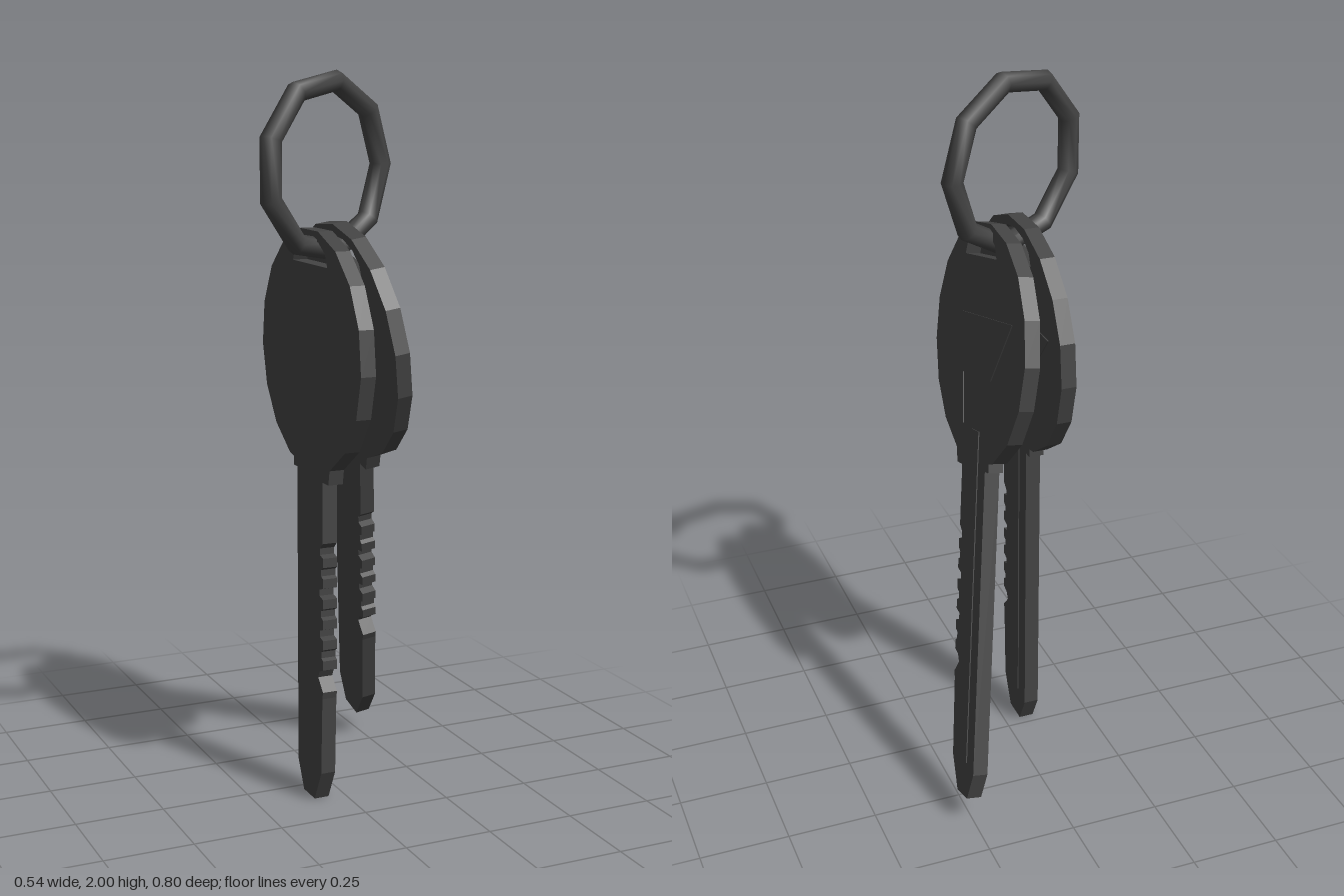
import * as THREE from 'three';

const material = new THREE.MeshStandardMaterial({ color: 0x444444, flatShading: true });
const smoothMaterial = new THREE.MeshStandardMaterial({ color: 0x444444 });
const PIVOT = { y: 1.53, z: 0.085 };   // where the key hangs from the ring
const THICK = 0.042;

// Flat plate drawn in (z, y), extruded along x and centred on x
function plate(name, points, thickness, hole) {
  const toVec = ([z, y]) => new THREE.Vector2(z - PIVOT.z, y - PIVOT.y);
  const shape = new THREE.Shape(points.map(toVec));
  if (hole) shape.holes.push(new THREE.Path(hole.map(toVec)));
  const geo = new THREE.ExtrudeGeometry(shape, { depth: thickness, bevelEnabled: false });
  geo.translate(0, 0, -thickness / 2);
  geo.rotateY(-Math.PI / 2);
  const mesh = new THREE.Mesh(geo, material);
  mesh.name = name;
  return mesh;
}

// Outline runs round the head, down the back edge, then up the toothed edge
function keyOutline() {
  const pts = [];
  // rounded head, open at the bottom where the blade joins
  const sides = 15, gap = 0.42;
  for (let i = 0; i <= sides; i++) {
    const a = -Math.PI / 2 + gap + (i / sides) * (2 * Math.PI - 2 * gap);
    pts.push([0.072 + 0.328 * Math.cos(a), 1.262 + 0.33 * Math.sin(a)]);
  }
  // back shoulder, straight back edge and tip
  pts.push([-0.035, 0.955], [-0.035, 0.93], [-0.01, 0.93], [-0.01, 0.08],
    [0.03, 0], [0.105, 0], [0.15, 0.09], [0.158, 0.31], [0.162, 0.33],
    [0.13, 0.365], [0.14, 0.385]);
  // cut teeth, from the tip upward
  const depths = [0.012, 0.022, 0.014, 0.024, 0.012, 0.02];
  depths.forEach((d, i) => {
    const y = 0.39 + i * 0.058;
    pts.push([0.163, y + 0.004], [0.163, y + 0.03], [0.163 - d, y + 0.036], [0.163 - d, y + 0.054]);
  });
  // front shoulder
  pts.push([0.16, 0.75], [0.16, 0.92], [0.198, 0.92]);
  return pts;
}

// Slot with a flat bottom and an arched top
function slotOutline() {
  const pts = [];
  for (let i = 0; i <= 6; i++) {
    const a = Math.PI * i / 6;
    pts.push([0.078 + 0.113 * Math.cos(a), 1.497 + 0.07 * Math.sin(a)]);
  }
  return pts;
}

function createKey(name) {
  const key = new THREE.Group();
  key.name = name;
  key.add(plate('keyBody', keyOutline(), THICK, slotOutline()));
  // shallow relief on one face
  const reliefs = [
    ['headPanel', [[-0.165, 1.34], [-0.03, 1.176], [0.171, 1.176], [0.159, 1.035],
      [0.244, 1.03], [0.315, 1.19], [0.196, 1.34]]],
    ['bladeRidge', [[0.04, 0.1], [0.09, 0.1], [0.09, 1.03], [0.04, 1.03]]],
  ];
  for (const [part, pts] of reliefs) {
    const ridge = plate(part, pts, 0.004);
    ridge.position.x = THICK / 2 + 0.001;
    key.add(ridge);
  }
  return key;
}

export function createModel() {
  const model = new THREE.Group();
  model.name = 'keyRingWithKeys';
  const deg = THREE.MathUtils.degToRad;

  const straightKey = createKey('straightKey');
  straightKey.position.set(-0.068, PIVOT.y, PIVOT.z);

  // second key swings backward and leans outward
  const swungKey = createKey('swungKey');
  swungKey.position.set(0.025, PIVOT.y - 0.004, PIVOT.z + 0.009);
  swungKey.rotation.set(deg(16), deg(-0.7), deg(8.7), 'ZYX');

  // nine-sided ring
  const ring = new THREE.Mesh(new THREE.TorusGeometry(0.225, 0.029, 8, 9), smoothMaterial);
  ring.name = 'ring';
  ring.position.set(-0.044, 1.75, 0.081);
  ring.rotation.y = deg(24.8);

  model.add(straightKey, swungKey, ring);
  return model;
}
